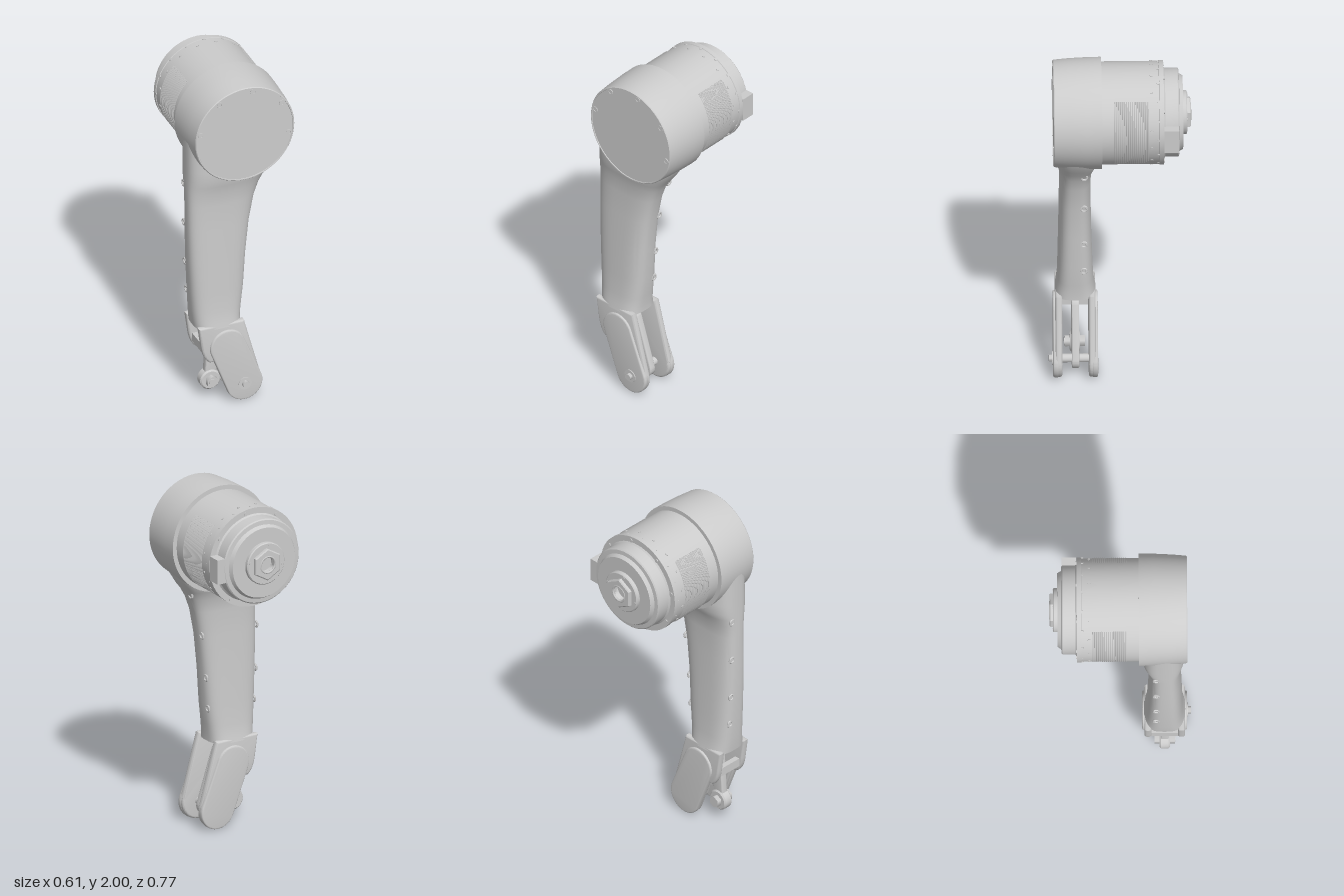
import * as THREE from 'three';
import { toCreasedNormals } from 'three/addons/utils/BufferGeometryUtils.js';

const HEAD_Y = 1.695, PIVOT_Y = 0.105;

export function createModel() {
  const model = new THREE.Group();
  const material = new THREE.MeshStandardMaterial({ color: 0xcccccc });

  function add(name, geometry, x = 0, y = 0, z = 0, parent = model) {
    const mesh = new THREE.Mesh(geometry, material);
    mesh.name = name;
    mesh.position.set(x, y, z);
    parent.add(mesh);
    return mesh;
  }
  // turned part around the z axis; profile is [radius, z] from back to front
  function turned(profile, sides = 56) {
    const g = new THREE.LatheGeometry(profile.map(([r, z]) => new THREE.Vector2(r, z)), sides);
    return toCreasedNormals(g.rotateX(Math.PI / 2), 0.5);
  }
  // cylinder lying along z
  function rod(r, z0, z1, sides = 24) {
    return new THREE.CylinderGeometry(r, r, z1 - z0, sides).rotateX(Math.PI / 2).translate(0, 0, (z0 + z1) / 2);
  }
  // plate between two z levels with a small bevel inside those limits
  function plate(shape, z0, z1, bevel = 0.006) {
    const g = new THREE.ExtrudeGeometry(shape, {
      depth: z1 - z0 - 2 * bevel, bevelThickness: bevel, bevelSize: bevel, bevelOffset: -bevel,
      bevelSegments: 3, curveSegments: 20,
    });
    return toCreasedNormals(g.translate(0, 0, z0 + bevel), 0.6);
  }
  // outline of a bar with round ends of radius r0 and r1
  function capsule(x0, y0, r0, x1, y1, r1) {
    const a = Math.atan2(y1 - y0, x1 - x0);
    const d = Math.acos((r0 - r1) / Math.hypot(x1 - x0, y1 - y0));
    const s = new THREE.Shape();
    s.absarc(x0, y0, r0, a + d, a - d + Math.PI * 2, false);
    s.absarc(x1, y1, r1, a - d, a + d, false);
    return s;
  }
  // loft of rounded-rectangle sections [y, left, right, back, front], top to bottom
  function loft(rows, n = 48, power = 3) {
    const pos = [], index = [];
    for (const [y, x0, x1, z0, z1] of rows) {
      for (let j = 0; j < n; j++) {
        const t = (j / n) * Math.PI * 2, c = Math.cos(t), s = Math.sin(t);
        pos.push((x0 + x1) / 2 + ((x1 - x0) / 2) * Math.sign(c) * Math.abs(c) ** (2 / power), y,
          (z0 + z1) / 2 + ((z1 - z0) / 2) * Math.sign(s) * Math.abs(s) ** (2 / power));
      }
    }
    const last = rows.length - 1;
    for (const i of [0, last]) {
      const [y, x0, x1, z0, z1] = rows[i];
      pos.push((x0 + x1) / 2, y, (z0 + z1) / 2);
    }
    const top = rows.length * n, bottom = top + 1;
    for (let j = 0; j < n; j++) {
      const k = (j + 1) % n;
      for (let i = 0; i < last; i++) {
        const a = i * n + j, b = i * n + k;
        index.push(a, b, a + n, b, b + n, a + n);
      }
      index.push(top, k, j, bottom, last * n + j, last * n + k);
    }
    const g = new THREE.BufferGeometry();
    g.setAttribute('position', new THREE.Float32BufferAttribute(pos, 3));
    g.setIndex(index);
    return toCreasedNormals(g, 0.7);
  }

  // round head with a flat front cover
  add('headShell', turned([[0, 0.1], [0.305, 0.1], [0.304, 0.18], [0.299, 0.28], [0.292, 0.358], [0.288, 0.363],
    [0.283, 0.363], [0.282, 0.359], [0, 0.359]]), 0, HEAD_Y);
  for (let i = 0; i < 5; i++) {
    const a = (-11 + i * 45) * Math.PI / 180;
    add('coverScrew', turned([[0, 0.34], [0.018, 0.34], [0.018, 0.363], [0.011, 0.363], [0.011, 0.36], [0, 0.36]], 16),
      0.264 * Math.cos(a), HEAD_Y + 0.264 * Math.sin(a));
  }

  // stepped drive housing with a hollow hub at the back
  add('driveHousing', turned([[0, -0.345], [0.045, -0.345], [0.045, -0.372], [0.055, -0.372], [0.055, -0.365],
    [0.115, -0.365], [0.12, -0.36], [0.12, -0.342], [0.2, -0.342], [0.212, -0.322], [0.236, -0.32], [0.242, -0.314],
    [0.242, -0.245], [0.25, -0.237], [0.284, -0.237], [0.284, -0.213], [0.28, -0.211], [0.28, 0.11], [0, 0.11]]), 0, HEAD_Y);
  add('hubNut', turned([[0.048, -0.36], [0.048, -0.385], [0.085, -0.385], [0.092, -0.38], [0.092, -0.36]], 6), 0, HEAD_Y);
  add('hubRing', new THREE.TorusGeometry(0.046, 0.006, 8, 32), 0, HEAD_Y, -0.382);
  add('connectorBlock', new THREE.BoxGeometry(0.1, 0.14, 0.08), 0.232, HEAD_Y - 0.01, -0.278);

  // cooling ribs on both sides
  for (let i = 0; i < 18; i++) {
    for (const side of [0, Math.PI]) {
      const rib = new THREE.TorusGeometry(0.28, 0.0035, 5, 24, Math.PI / 2).rotateZ(side - Math.PI / 4);
      add('coolingRib', rib, 0, HEAD_Y, -0.15 + i * 0.0106);
    }
  }
  // rows of small screws around the housing and on its back steps
  for (let i = 0; i < 16; i++) {
    const a = (i + 0.5) * Math.PI / 8;
    for (const [z, shift] of [[-0.17, 0], [-0.207, Math.PI / 16]]) {
      const stud = new THREE.CylinderGeometry(0.008, 0.008, 0.01, 8).rotateZ(a + shift - Math.PI / 2);
      add('housingScrew', stud, 0.279 * Math.cos(a + shift), HEAD_Y + 0.279 * Math.sin(a + shift), z);
    }
    if (i % 2) add('flangeScrew', rod(0.011, -0.242, -0.23, 8), 0.262 * Math.cos(a), HEAD_Y + 0.262 * Math.sin(a));
    if (i % 4 === 0) add('hubScrew', rod(0.008, -0.368, -0.36, 8), 0.105 * Math.cos(a), HEAD_Y + 0.105 * Math.sin(a));
  }

  // arm flowing down from the head
  add('arm', loft([
    [1.68, -0.298, 0.285, 0.105, 0.358],
    [1.58, -0.298, 0.262, 0.105, 0.358],
    [1.48, -0.298, 0.215, 0.106, 0.357],
    [1.42, -0.298, 0.178, 0.112, 0.353],
    [1.38, -0.298, 0.148, 0.128, 0.343],
    [1.33, -0.298, 0.12, 0.148, 0.332],
    [1.25, -0.297, 0.092, 0.156, 0.326],
    [1.1, -0.296, 0.062, 0.156, 0.328],
    [0.9, -0.291, 0.04, 0.153, 0.331],
    [0.7, -0.282, 0.026, 0.147, 0.335],
    [0.58, -0.274, 0.012, 0.142, 0.338],
    [0.52, -0.269, 0.004, 0.136, 0.345],
    [0.48, -0.264, 0.003, 0.128, 0.352],
  ]));
  // screw seats along both edges of the arm
  for (const [y, xl, xr] of [[1.36, -0.298, 0.135], [1.11, -0.296, 0.064], [0.86, -0.29, 0.037], [0.68, -0.281, 0.025]]) {
    for (const x of [xl, xr]) {
      const seat = toCreasedNormals(new THREE.TorusGeometry(0.016, 0.006, 6, 16), 1).rotateY(Math.PI / 2);
      add('screwSeat', seat, x + (x < 0 ? 0.006 : -0.006), y, 0.195);
    }
  }

  // forked lower end: two cheeks, each with a raised outer pad
  const cheek = new THREE.Shape();
  cheek.moveTo(0.002, 0.5);
  cheek.lineTo(0.1, 0.135);
  cheek.absarc(0, PIVOT_Y, 0.103, 0.28, -Math.PI + 0.37, true);
  cheek.lineTo(-0.168, 0.272);
  cheek.lineTo(-0.2, 0.272);
  cheek.quadraticCurveTo(-0.24, 0.3, -0.25, 0.39);
  cheek.lineTo(-0.265, 0.5);
  const pad = capsule(0, PIVOT_Y, 0.105, -0.1, 0.36, 0.102);
  for (const [name, z0, z1, p0, p1] of [['front', 0.312, 0.35, 0.33, 0.362], ['back', 0.13, 0.168, 0.118, 0.15]]) {
    add(name + 'ForkCheek', plate(cheek, z0, z1, 0.012));
    add(name + 'ForkPad', plate(pad, p0, p1, 0.008));
  }
  add('forkBridge', new THREE.BoxGeometry(0.03, 0.05, 0.16), -0.215, 0.345, 0.24);

  // pivot pin through the fork
  add('pivotPin', rod(0.024, 0.14, 0.362), 0, PIVOT_Y);
  add('pivotWasher', turned([[0.02, 0.355], [0.038, 0.355], [0.038, 0.367], [0.02, 0.367]], 24), 0, PIVOT_Y);
  add('pivotBolt', rod(0.021, 0.36, 0.385, 6), 0, PIVOT_Y);

  // pull link running up inside the fork
  const link = capsule(-0.162, 0.11, 0.032, -0.13, 0.49, 0.04);
  add('link', plate(link, 0.22, 0.26));
  add('linkEye', turned([[0.022, 0.212], [0.052, 0.212], [0.06, 0.22], [0.06, 0.26], [0.052, 0.268], [0.022, 0.268]], 32), -0.162, 0.11);
  add('linkBolt', rod(0.022, 0.185, 0.3), -0.162, 0.11);
  add('linkNut', rod(0.034, 0.268, 0.295, 6), -0.162, 0.11);
  add('linkBoltHead', rod(0.034, 0.185, 0.212, 6), -0.162, 0.11);
  add('innerLever', plate(capsule(0, PIVOT_Y, 0.055, -0.09, 0.4, 0.05), 0.22, 0.26));

  return model;
}
